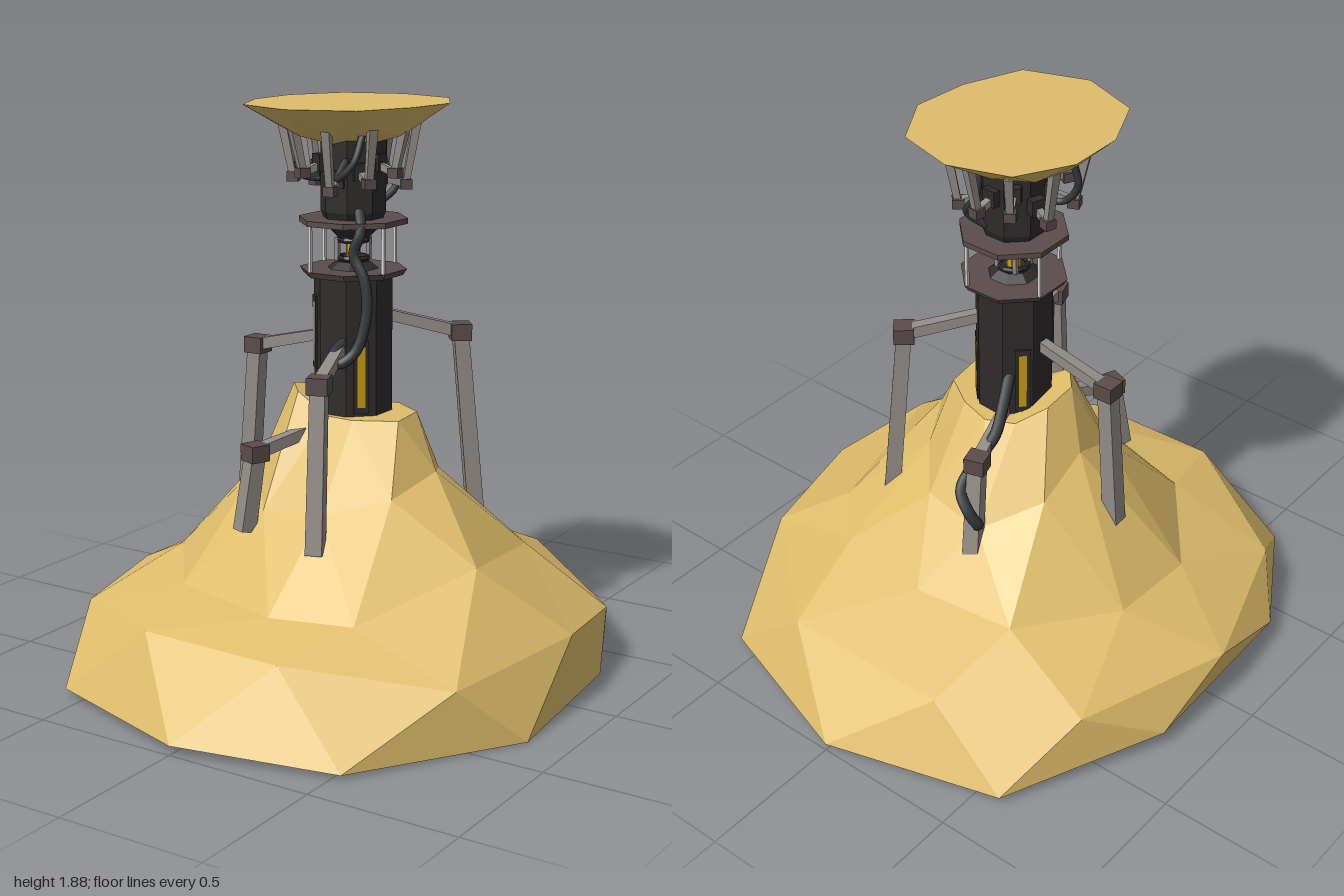
import * as THREE from 'three';

const mat = (color) => new THREE.MeshStandardMaterial({ color, flatShading: true });
const ROCK = mat(0xdfbd6b), DARK = mat(0x2f2b2b), METAL = mat(0x928b86),
  BROWN = mat(0x5a4c4a), PALE = mat(0xd8d6d2), YELLOW = mat(0xc89a10), CABLE = mat(0x33373a);
CABLE.flatShading = false;

function add(parent, name, geometry, material, x = 0, y = 0, z = 0) {
  const mesh = new THREE.Mesh(geometry, material);
  mesh.name = name;
  mesh.position.set(x, y, z);
  parent.add(mesh);
  return mesh;
}

// Square tapered bar between two points
function bar(parent, name, a, b, wa, wb, material) {
  const from = new THREE.Vector3(...a), to = new THREE.Vector3(...b);
  const dir = to.clone().sub(from);
  const geo = new THREE.CylinderGeometry(wb * 0.707, wa * 0.707, dir.length(), 4).rotateY(Math.PI / 4);
  const mesh = add(parent, name, geo, material);
  mesh.position.copy(from).lerp(to, 0.5);
  mesh.quaternion.setFromUnitVectors(new THREE.Vector3(0, 1, 0), dir.normalize());
  return mesh;
}

function cable(parent, name, points, radius) {
  const curve = new THREE.CatmullRomCurve3(points.map((p) => new THREE.Vector3(...p)));
  return add(parent, name, new THREE.TubeGeometry(curve, 32, radius, 8), CABLE);
}

// Faceted rock: rings run from bottom to top, each one staggered half a step
function rockGeometry(rings, topY) {
  const n = rings[0].length, v = [];
  const tri = (...pts) => pts.forEach((p) => v.push(...p));
  const last = rings[rings.length - 1];
  const cb = [0, rings[0].reduce((s, p) => s + p[1], 0) / n, 0], ct = [0, topY, 0];
  for (let i = 0; i < n; i++) {
    const j = (i + 1) % n;
    for (let k = 0; k < rings.length - 1; k++) {
      const lo = rings[k], up = rings[k + 1];
      if (k % 2 === 0) { tri(lo[i], lo[j], up[i]); tri(up[i], lo[j], up[j]); }
      else { tri(lo[i], lo[j], up[j]); tri(lo[i], up[j], up[i]); }
    }
    tri(cb, rings[0][j], rings[0][i]);
    tri(ct, last[i], last[j]);
  }
  const geo = new THREE.BufferGeometry();
  geo.setAttribute('position', new THREE.Float32BufferAttribute(v, 3));
  geo.computeVertexNormals();
  return geo;
}

// Ring from [radius, height] pairs, starting at the front and turning to +x
const polar = (list, shift) => list.map(([r, y], i) => {
  const a = ((i + shift) / list.length) * Math.PI * 2;
  return [Math.sin(a) * r, y, Math.cos(a) * r];
});

function mound() {
  const base = [[0, 0.03, 1], [0.53, 0.015, 0.87], [0.86, 0, 0.33], [0.81, 0.01, -0.28], [0.58, 0.02, -0.81],
    [0, 0.025, -1], [-0.59, 0.025, -0.83], [-0.85, 0.06, -0.3], [-0.84, 0.08, 0.35], [-0.57, 0.025, 0.81]];
  const shoulder = [[0.25, 0.27, 0.79], [0.72, 0.2, 0.53], [0.84, 0.24, 0], [0.77, 0.2, -0.4], [0.3, 0.25, -0.8],
    [-0.3, 0.25, -0.8], [-0.7, 0.22, -0.55], [-0.87, 0.2, 0], [-0.7, 0.22, 0.52], [-0.25, 0.28, 0.79]];
  const foot = [[0.1, 0.34, 0.62], [0.37, 0.34, 0.55], [0.59, 0.465, 0.18], [0.5, 0.4, -0.32], [0.34, 0.38, -0.48],
    [0, 0.37, -0.53], [-0.36, 0.37, -0.49], [-0.58, 0.35, -0.17], [-0.59, 0.34, 0.15], [-0.32, 0.34, 0.5]];
  const slope = polar([[0.36, 0.6], [0.37, 0.65], [0.335, 0.7], [0.3, 0.66], [0.35, 0.6],
    [0.37, 0.57], [0.33, 0.66], [0.265, 0.75], [0.3, 0.68], [0.36, 0.58]], 0.5);
  const crown = polar([[0.14, 0.87], [0.18, 0.87], [0.25, 0.87], [0.23, 0.87], [0.18, 0.87],
    [0.17, 0.86], [0.17, 0.87], [0.18, 0.92], [0.19, 0.945], [0.18, 0.94]], 0);
  return rockGeometry([base, shoulder, foot, slope, crown], 0.87);
}

function capRock() {
  const bottom = polar(Array.from({ length: 10 }, (_, i) => [0.1, 1.75 + 0.01 * (i % 2)]), 0);
  const middle = polar([[0.2, 1.79], [0.22, 1.8], [0.2, 1.78], [0.21, 1.8], [0.2, 1.79],
    [0.22, 1.8], [0.2, 1.78], [0.21, 1.79], [0.22, 1.8], [0.2, 1.78]], 0.5);
  const rim = polar([0.37, 0.365, 0.31, 0.325, 0.35, 0.34, 0.34, 0.315, 0.315, 0.36].map((r) => [r, 1.88]), 0);
  rim[2][0] = 0.295;
  rim[3][0] = 0.315;
  return rockGeometry([bottom, middle, rim], 1.88);
}

// Bent brace, built in its own z-y plane and turned to its angle
function brace(angle, reach, elbowY, armY, footReach, footY) {
  const g = new THREE.Group();
  g.name = 'braceLeg';
  g.rotation.y = THREE.MathUtils.degToRad(angle);
  bar(g, 'braceArm', [0, armY, 0.1], [0, elbowY, reach], 0.035, 0.04, METAL);
  bar(g, 'braceShin', [0, elbowY, reach], [0, footY, footReach], 0.05, 0.055, METAL);
  add(g, 'braceElbow', new THREE.BoxGeometry(0.068, 0.055, 0.068), BROWN, 0, elbowY, reach);
  return g;
}

function tower() {
  const g = new THREE.Group();
  g.name = 'tower';
  g.position.x = 0.015;
  const drum = (name, rt, rb, y0, y1, m) => add(g, name,
    new THREE.CylinderGeometry(rt, rb, y1 - y0, 8).rotateY(Math.PI / 8), m, 0, (y0 + y1) / 2, 0);
  drum('shaft', 0.13, 0.13, 0.8, 1.325, DARK);
  drum('lowerCollar', 0.178, 0.165, 1.322, 1.342, BROWN);
  drum('lampSocket', 0.055, 0.085, 1.342, 1.365, DARK);
  drum('lampCore', 0.024, 0.024, 1.36, 1.45, YELLOW);
  drum('lampCap', 0.085, 0.05, 1.44, 1.475, DARK);
  drum('neckTaper', 0.108, 0.085, 1.475, 1.53, DARK);
  drum('neck', 0.108, 0.108, 1.53, 1.78, DARK);

  // Open octagonal ring held up on thin posts
  const ring = new THREE.Shape(), hole = new THREE.Path();
  for (let i = 0; i < 8; i++) {
    const a = (i + 0.5) * Math.PI / 4, c = Math.cos(a), s = Math.sin(a);
    ring[i ? 'lineTo' : 'moveTo'](0.18 * c, 0.18 * s);
    hole[i ? 'lineTo' : 'moveTo'](0.1 * c, 0.1 * s);
  }
  ring.holes.push(hole);
  add(g, 'upperCollar', new THREE.ExtrudeGeometry(ring, { depth: 0.018, bevelEnabled: false })
    .rotateX(-Math.PI / 2), BROWN, 0, 1.49, 0);
  for (let i = 0; i < 4; i++) {
    const a = (i + 0.25) * Math.PI / 2, c = Math.cos(a), s = Math.sin(a);
    add(g, 'collarPost', new THREE.BoxGeometry(0.01, 0.16, 0.01), PALE, 0.168 * c, 1.415, 0.168 * s);
  }
  // Lamp cage
  for (const y of [1.375, 1.435]) {
    add(g, 'cageRing', new THREE.TorusGeometry(0.048, 0.01, 6, 8).rotateX(Math.PI / 2), DARK, 0, y, 0);
  }
  for (let i = 0; i < 4; i++) {
    const a = (i + 0.5) * Math.PI / 2, c = Math.cos(a), s = Math.sin(a);
    add(g, 'cageBar', new THREE.BoxGeometry(0.014, 0.075, 0.014), METAL, 0.052 * c, 1.405, 0.052 * s);
  }
  // Light strips on the shaft's slanted faces: angle, colour, height, sideways shift
  [[45, YELLOW, 1, 0], [135, YELLOW, 1, 0.015], [225, YELLOW, 1, 0.015], [-45, PALE, 1.13, -0.02]]
    .forEach(([deg, m, y, side]) => {
      const panel = new THREE.Group();
      panel.name = 'lightPanel';
      panel.rotation.y = THREE.MathUtils.degToRad(deg);
      add(panel, 'stripFrame', new THREE.BoxGeometry(0.05, 0.24, 0.01), DARK, side, y, 0.121);
      add(panel, 'lightStrip', new THREE.BoxGeometry(0.026, 0.2, 0.012), m, side, y, 0.122);
      g.add(panel);
    });
  return g;
}

// Short clamps that hold the upper rock
function clamp(i, count) {
  const g = new THREE.Group(), r = 0.17 + 0.015 * (i % 2), y = 1.61 + 0.025 * (i % 3);
  g.name = 'rockClamp';
  g.rotation.y = (i + 0.3) * 2 * Math.PI / count;
  add(g, 'clampSocket', new THREE.BoxGeometry(0.05, 0.055, 0.03), DARK, 0, y + 0.03, 0.108);
  bar(g, 'clampArm', [0, y + 0.028, 0.09], [0, y, r], 0.022, 0.024, METAL);
  bar(g, 'clampFinger', [0, y, r], [0, 1.81, r + 0.035], 0.022, 0.028, METAL);
  add(g, 'clampElbow', new THREE.BoxGeometry(0.038, 0.032, 0.038), BROWN, 0, y, r);
  return g;
}

export function createModel() {
  const model = new THREE.Group();
  model.name = 'rockTower';
  add(model, 'mound', mound(), ROCK);
  add(model, 'upperRock', capRock(), ROCK);
  model.add(tower());

  // angle, elbow reach, elbow height, arm height, foot reach, foot height
  [[-89, 0.365, 1.045, 1.11, 0.41, 0.48],
    [129.5, 0.37, 1.12, 1.19, 0.43, 0.48],
    [19, 0.395, 1.035, 1.1, 0.45, 0.5],
    [-21, 0.375, 0.775, 0.83, 0.42, 0.52],
    [197, 0.35, 0.83, 0.88, 0.4, 0.48]].forEach((p) => model.add(brace(...p)));
  for (let i = 0; i < 9; i++) model.add(clamp(i, 9));

  // Loose cables
  cable(model, 'frontCable', [[0.09, 1.54, 0.08], [0.12, 1.48, 0.12], [0.1, 1.41, 0.13], [0.14, 1.33, 0.13],
    [0.155, 1.22, 0.14], [0.13, 1.1, 0.17], [0.08, 1.06, 0.2], [0.05, 1.09, 0.17], [0.05, 1.12, 0.1]], 0.018);
  cable(model, 'backCable', [[-0.04, 1.02, -0.09], [-0.07, 0.95, -0.16], [-0.09, 0.87, -0.23], [-0.07, 0.8, -0.3],
    [-0.07, 0.73, -0.38], [-0.12, 0.67, -0.4], [-0.14, 0.62, -0.38], [-0.1, 0.59, -0.35]], 0.02);
  cable(model, 'sideCable', [[-0.09, 1.63, 0.03], [-0.15, 1.64, 0.05], [-0.19, 1.7, 0.06], [-0.18, 1.78, 0.05]], 0.012);
  cable(model, 'neckCable', [[0.05, 1.7, 0.1], [0.06, 1.65, 0.16], [0.11, 1.7, 0.15], [0.12, 1.79, 0.11]], 0.012);
  cable(model, 'rearCable', [[0.05, 1.54, -0.09], [0.09, 1.6, -0.14], [0.04, 1.68, -0.15], [0.05, 1.78, -0.13]], 0.012);
  return model;
}
